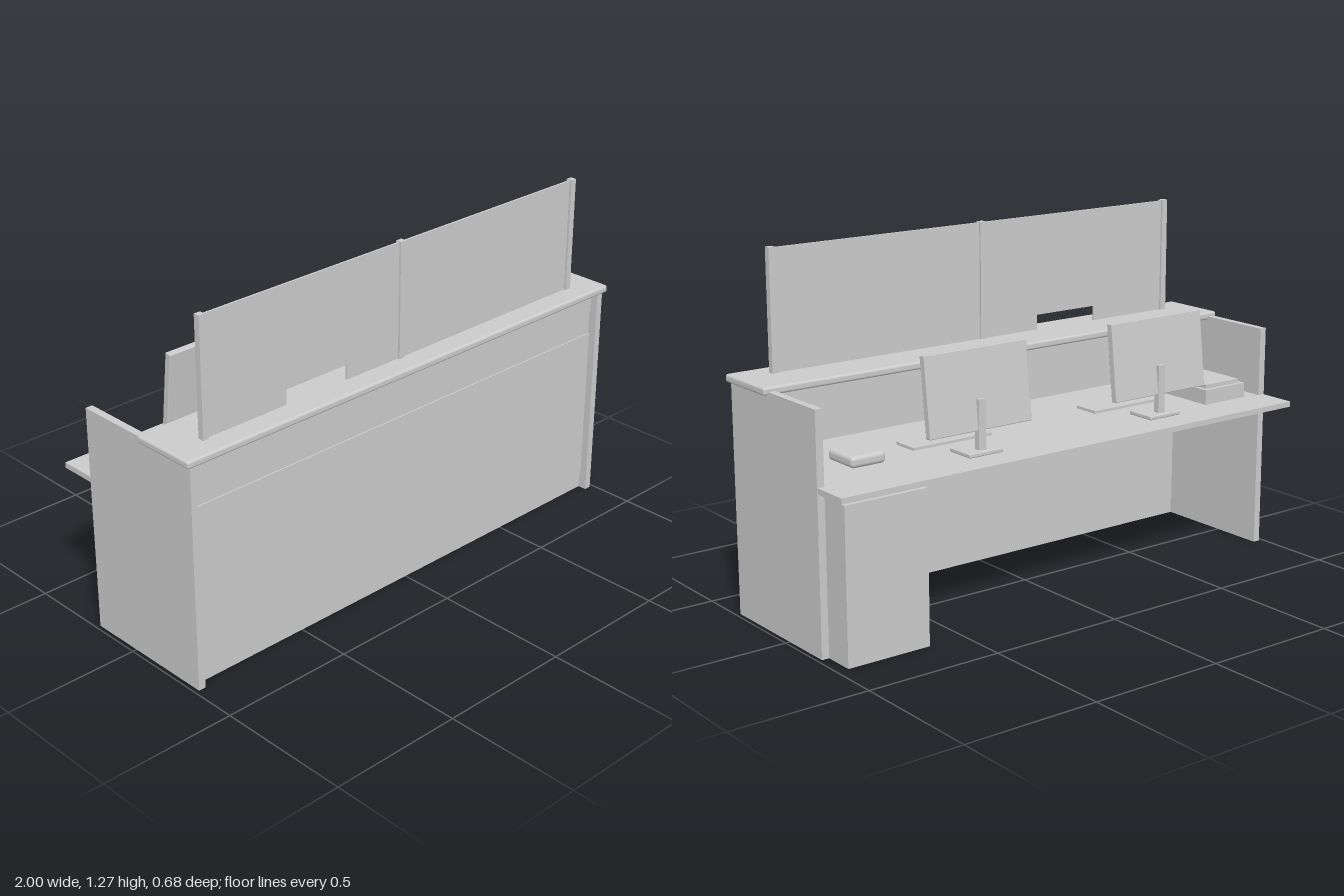
import * as THREE from 'three';
import { RoundedBoxGeometry } from 'three/addons/geometries/RoundedBoxGeometry.js';

const material = new THREE.MeshStandardMaterial({ color: 0xcccccc });

function addMesh(parent, name, geometry) {
  const mesh = new THREE.Mesh(geometry, material);
  mesh.name = name;
  parent.add(mesh);
  return mesh;
}

// Box given by its limits on each axis, with optional rounded edges
function addBox(parent, name, [x0, x1], [y0, y1], [z0, z1], radius = 0) {
  const size = [x1 - x0, y1 - y0, z1 - z0];
  const geometry = radius
    ? new RoundedBoxGeometry(...size, 3, radius)
    : new THREE.BoxGeometry(...size);
  const mesh = addMesh(parent, name, geometry);
  mesh.position.set((x0 + x1) / 2, (y0 + y1) / 2, (z0 + z1) / 2);
  return mesh;
}

// Monitor leaning slightly forward, on a post and a square foot
function createMonitor(x) {
  const monitor = new THREE.Group();
  monitor.name = 'monitor';
  monitor.position.x = x;
  addBox(monitor, 'monitorFoot', [-0.07, 0.07], [0.58, 0.595], [-0.23, -0.115], 0.004);
  addBox(monitor, 'monitorPost', [-0.015, 0.015], [0.59, 0.77], [-0.208, -0.186]);
  const screen = addBox(monitor, 'monitorScreen', [-0.211, 0.211], [0.66, 0.94], [-0.19, -0.164], 0.003);
  screen.rotation.x = 0.115;
  return monitor;
}

export function createModel() {
  const desk = new THREE.Group();
  desk.name = 'receptionDesk';

  // Side panels
  for (const side of [-1, 1]) {
    const panel = addBox(desk, 'sidePanel', [-0.0135, 0.0135], [0, 0.835], [-0.2, 0.328]);
    panel.position.x = side * 0.9705;
  }

  // Front: kick board, main panel, inset band and top rail
  const inner = [-0.957, 0.957];
  addBox(desk, 'kickBoard', inner, [0, 0.062], [0.275, 0.295]);
  addBox(desk, 'frontPanel', inner, [0.062, 0.655], [0.272, 0.3]);
  addBox(desk, 'frontBand', inner, [0.655, 0.745], [0.272, 0.295]);
  addBox(desk, 'frontRail', inner, [0.745, 0.8], [0.272, 0.3]);

  // Raised counter and work surface
  addBox(desk, 'counter', [-1, 1], [0.822, 0.85], [0.085, 0.34], 0.009);
  addBox(desk, 'workSurface', inner, [0.56, 0.58], [-0.21, 0.275]);
  addBox(desk, 'workSurfaceBack', [-0.983, 0.983], [0.56, 0.58], [-0.34, -0.2]);

  // Cabinet under the work surface
  addBox(desk, 'cabinet', [0.64, 0.957], [0, 0.545], [-0.315, 0.14]);
  addBox(desk, 'cabinetSpacer', [0.66, 0.94], [0.54, 0.565], [-0.18, 0.12]);

  // Screen posts
  for (const x of [-0.863, 0, 0.863]) {
    addBox(desk, 'screenPost', [x - 0.012, x + 0.012], [0.845, 1.275], [0.24, 0.263]);
  }

  // Glass panes, one with a pass-through slot at the bottom
  addBox(desk, 'glassPane', [0.01, 0.855], [0.848, 1.272], [0.248, 0.255]);
  const pane = new THREE.Shape([
    [-0.855, 0.848], [-0.52, 0.848], [-0.52, 0.905], [-0.25, 0.905],
    [-0.25, 0.848], [-0.01, 0.848], [-0.01, 1.272], [-0.855, 1.272],
  ].map(([x, y]) => new THREE.Vector2(x, y)));
  const slotted = new THREE.ExtrudeGeometry(pane, { depth: 0.007, bevelEnabled: false });
  addMesh(desk, 'slottedGlassPane', slotted).position.z = 0.248;

  // Equipment: monitors and keyboards
  for (const x of [-0.46, 0.34]) desk.add(createMonitor(x));
  for (const x of [-0.46, 0.337]) {
    addBox(desk, 'keyboard', [x - 0.165, x + 0.165], [0.579, 0.59], [-0.035, 0.068]);
  }

  // Document tray with a stack of paper
  addBox(desk, 'documentTray', [-0.895, -0.7], [0.579, 0.635], [-0.185, 0.07]);
  addBox(desk, 'paperStack', [-0.878, -0.717], [0.63, 0.65], [-0.168, 0.053]);

  // Telephone
  addBox(desk, 'telephone', [0.65, 0.785], [0.579, 0.62], [-0.095, 0.057], 0.015);

  return desk;
}
